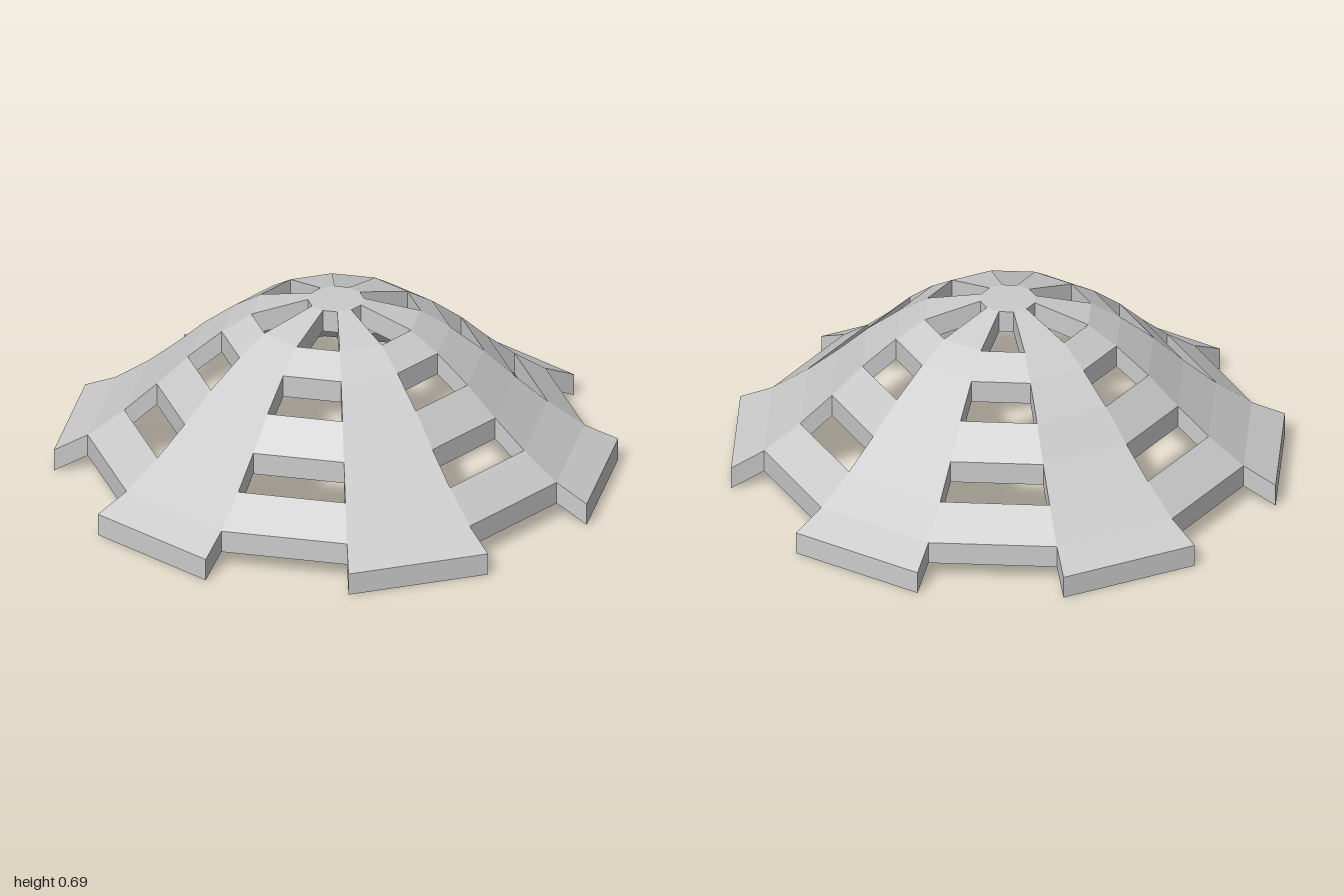
import * as THREE from 'three';

// Outer surface as [distance from axis, height]; the shell is THICK deep vertically
const PROFILE = [
  [0.1, 0.685], [0.3, 0.63], [0.405, 0.56], [0.525, 0.46],
  [0.635, 0.35], [0.75, 0.245], [0.88, 0.145], [1, 0.085],
];
const THICK = 0.085;
const HALF = Math.PI / 12; // half angle of one of the twelve sectors

// Wedge-shaped slab following the profile between two of its points
function sector(from, to) {
  const top = PROFILE.slice(from, to + 1);
  const bottom = top.map(([r, y]) => [r, y - THICK]).reverse();
  const shape = new THREE.Shape([...top, ...bottom].map(([r, y]) => new THREE.Vector2(r, y)));
  const geo = new THREE.ExtrudeGeometry(shape, { depth: 1, bevelEnabled: false });
  const pos = geo.attributes.position;
  // widen in proportion to the distance from the axis
  for (let i = 0; i < pos.count; i++) {
    pos.setZ(i, (pos.getZ(i) - 0.5) * 2 * pos.getX(i) * Math.tan(HALF));
  }
  geo.computeVertexNormals();
  return geo;
}

export function createModel() {
  const model = new THREE.Group();
  const material = new THREE.MeshStandardMaterial({ color: 0xcccccc, flatShading: true });

  const add = (name, geo, angle) => {
    const mesh = new THREE.Mesh(geo, material);
    mesh.name = name;
    mesh.rotation.y = angle;
    model.add(mesh);
    return mesh;
  };

  // Twelve-sided hub at the crown
  const radius = PROFILE[0][0] / Math.cos(HALF);
  const hub = add('hub', new THREE.CylinderGeometry(radius, radius, THICK, 12), HALF);
  hub.position.y = PROFILE[0][1] - THICK / 2;

  // Six ribs, with three rungs bridging each gap
  const rib = sector(0, 7);
  const rungs = [['upperRung', sector(1, 2)], ['middleRung', sector(3, 4)], ['lowerRung', sector(5, 6)]];
  for (let k = 0; k < 6; k++) {
    const angle = (k * Math.PI) / 3;
    add('rib', rib, angle);
    for (const [name, geo] of rungs) add(name, geo, angle + 2 * HALF);
  }
  return model;
}
